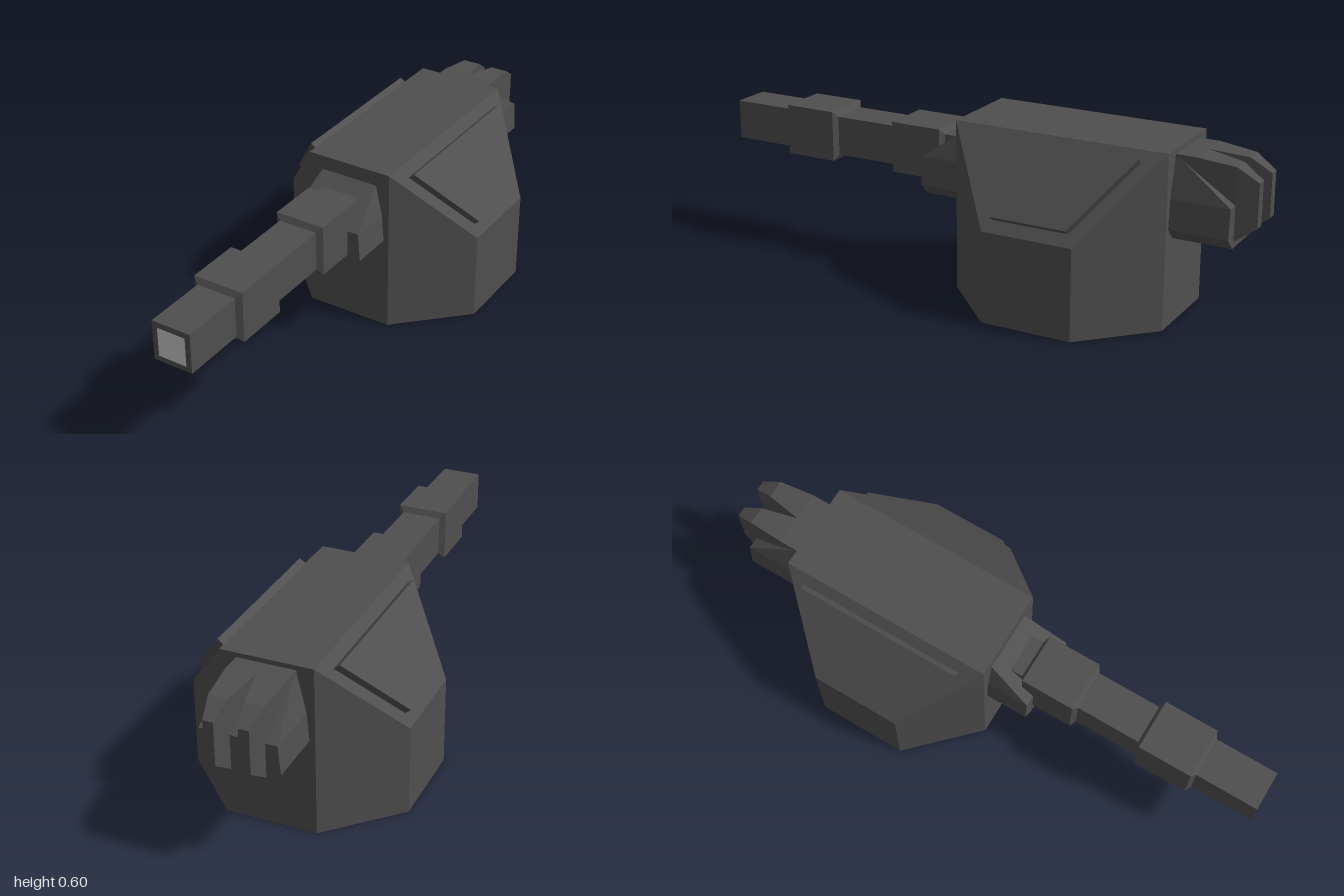
import * as THREE from 'three';
import { ConvexGeometry } from 'three/addons/geometries/ConvexGeometry.js';

const dark = new THREE.MeshStandardMaterial({ color: 0x4f4f4f, flatShading: true });
const darkOpen = new THREE.MeshStandardMaterial({ color: 0x4f4f4f, flatShading: true, side: THREE.DoubleSide });
const light = new THREE.MeshStandardMaterial({ color: 0xcccccc });

const V = (x, y, z) => new THREE.Vector3(x, y, z);
const both = (x, y, z) => [V(x, y, z), V(-x, y, z)];

function part(name, geometry, material = dark) {
  const mesh = new THREE.Mesh(geometry, material);
  mesh.name = name;
  return mesh;
}

// Remove the downward faces so the shell is open underneath
function openBottom(geometry) {
  const p = geometry.attributes.position;
  const kept = [];
  for (let i = 0; i < p.count; i += 3) {
    if ([0, 1, 2].every((k) => p.getY(i + k) < 0.001)) continue;
    for (let k = 0; k < 3; k++) kept.push(p.getX(i + k), p.getY(i + k), p.getZ(i + k));
  }
  const open = new THREE.BufferGeometry();
  open.setAttribute('position', new THREE.Float32BufferAttribute(kept, 3));
  open.computeVertexNormals();
  return open;
}

// Square tube section with bevelled ends
function squareSleeve(z0, z1) {
  const pts = [];
  for (const [z, h] of [[z0, 0.07], [z0 + 0.012, 0.09], [z1 - 0.012, 0.09], [z1, 0.07]]) {
    pts.push(...both(h, 0.44 + h, z), ...both(h, 0.44 - h, z));
  }
  return new ConvexGeometry(pts);
}

export function createModel() {
  const model = new THREE.Group();
  model.name = 'turret';

  // Eight-sided shell with sloping roof sides
  const shell = [];
  for (const z of [0.03, -0.73]) shell.push(...both(0.157, 0, z), ...both(0.157, 0.596, z));
  for (const z of [-0.19, -0.51]) shell.push(...both(0.38, 0, z), ...both(0.38, 0.315, z));
  model.add(part('shell', openBottom(new ConvexGeometry(shell)), darkOpen));

  // Core running through the shell, forming the front collar and rear mount
  const core = [];
  for (const [end, top] of [[0.18, -0.005], [-0.93, -0.745]]) {
    core.push(...both(0.1, 0.3, end), ...both(0.138, 0.34, end), ...both(0.13, 0.44, end), ...both(0.1, 0.57, top));
  }
  model.add(part('core', new ConvexGeometry(core)));

  for (const s of [1, -1]) {
    const side = s > 0 ? 'left' : 'right';

    // Raised trapezoid plate on the roof slope
    const plate = [];
    for (const [x, y] of [[0, 0], [0.024, 0.019]]) {
      for (const z of [-0.05, -0.65]) plate.push(V(s * (0.181 + x), 0.559 + y, z));
      for (const z of [-0.215, -0.485]) plate.push(V(s * (0.348 + x), 0.347 + y, z));
    }
    model.add(part(side + 'RoofPlate', new ConvexGeometry(plate)));

    // Tapered rear claw; the pair leaves a V-shaped gap
    const claw = [];
    const sections = [
      [-0.7, 0, 0.1, 0.32, 0.58], [-0.8, 0, 0.1, 0.32, 0.58],
      [-0.93, 0.026, 0.09, 0.32, 0.565], [-1, 0.04, 0.075, 0.37, 0.52],
    ];
    for (const [z, inner, outer, low, high] of sections) {
      for (const x of [inner, outer]) claw.push(V(s * x, low, z), V(s * x, high, z));
    }
    model.add(part(side + 'RearClaw', new ConvexGeometry(claw)));
  }

  // Square barrel with two sleeves and a light muzzle
  const barrel = part('barrel', new THREE.BoxGeometry(0.14, 0.14, 0.919));
  barrel.position.set(0, 0.44, 0.5395);
  model.add(barrel);
  model.add(part('rearSleeve', squareSleeve(0.125, 0.337)));
  model.add(part('frontSleeve', squareSleeve(0.563, 0.777)));
  const muzzle = part('muzzle', new THREE.PlaneGeometry(0.102, 0.102), light);
  muzzle.position.set(0, 0.44, 1);
  model.add(muzzle);

  return model;
}
